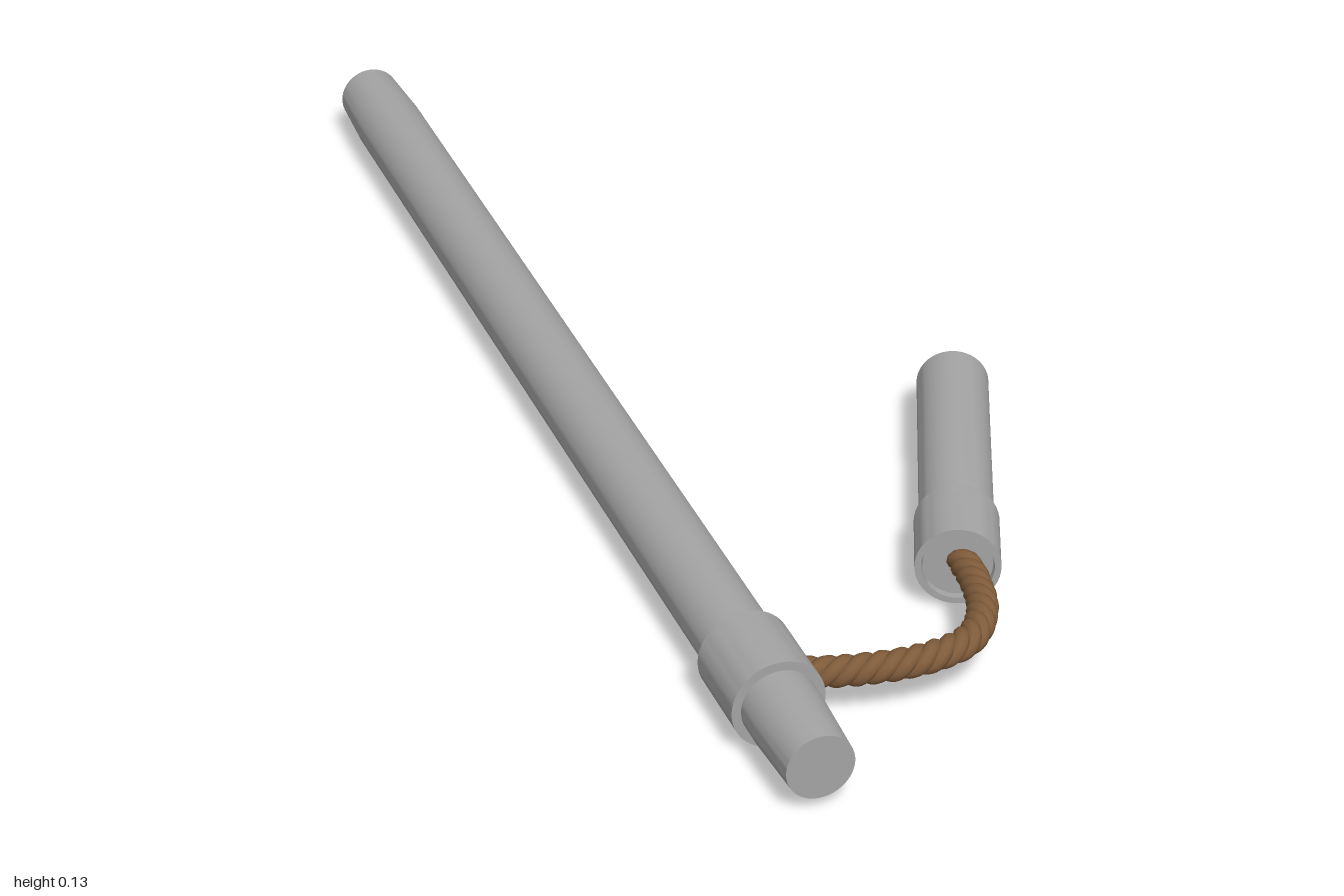
import * as THREE from 'three';
import { toCreasedNormals } from 'three/addons/utils/BufferGeometryUtils.js';

const metal = new THREE.MeshStandardMaterial({ color: 0xa4a4a4 });
metal.name = 'grey metal';
const fibre = new THREE.MeshStandardMaterial({ color: 0x7f5b3a });
fibre.name = 'brown rope';

function add(parent, name, geometry, material) {
  const mesh = new THREE.Mesh(geometry, material);
  mesh.name = name;
  parent.add(mesh);
  return mesh;
}

// Solid of revolution along local y with crisp edges
function turned(points) {
  const profile = points.map(([r, y]) => new THREE.Vector2(r, y));
  return toCreasedNormals(new THREE.LatheGeometry(profile, 48), 0.6);
}

// Hollow sleeve from y0 to y1
function sleeve(inner, outer, y0, y1) {
  return turned([[inner, y0], [outer, y0], [outer, y1], [inner, y1], [inner, y0]]);
}

// Three strands twisted around a centre line
function twistedRope(path, turns, strandRadius, offset) {
  const group = new THREE.Group();
  const steps = 150;
  const frames = path.computeFrenetFrames(steps, false);
  for (let s = 0; s < 3; s++) {
    const points = [];
    for (let i = 0; i <= steps; i++) {
      const a = -(i / steps) * turns * Math.PI * 2 + (s * Math.PI * 2) / 3;
      points.push(path.getPointAt(i / steps)
        .addScaledVector(frames.normals[i], Math.cos(a) * offset)
        .addScaledVector(frames.binormals[i], Math.sin(a) * offset));
    }
    const strand = new THREE.CatmullRomCurve3(points);
    add(group, 'ropeStrand' + (s + 1), new THREE.TubeGeometry(strand, 260, strandRadius, 10), fibre);
  }
  return group;
}

export function createModel() {
  const model = new THREE.Group();
  model.name = 'tetheredRods';

  // Long rod with tapered ends, lying along z
  const longRod = new THREE.Group();
  longRod.name = 'longRod';
  longRod.position.set(-0.257, 0.066, 0);
  longRod.rotation.x = Math.PI / 2;
  add(longRod, 'longShaft', turned([
    [0, -1], [0.047, -1], [0.052, -0.89], [0.052, 0.89], [0.047, 1], [0, 1],
  ]), metal);
  add(longRod, 'longCollar', sleeve(0.051, 0.065, 0.725, 0.852), metal);
  model.add(longRod);

  // Short rod, running from its collar back and to the side
  const shortRod = new THREE.Group();
  shortRod.name = 'shortRod';
  shortRod.position.set(0.087, 0.066, 0.632);
  shortRod.quaternion.setFromUnitVectors(
    new THREE.Vector3(0, 1, 0),
    new THREE.Vector3(0.185, 0, -0.456).normalize());
  add(shortRod, 'shortShaft', turned([
    [0, 0.008], [0.048, 0.008], [0.052, 0.06], [0.052, 0.492], [0, 0.492],
  ]), metal);
  add(shortRod, 'shortCollar', sleeve(0.05, 0.059, 0, 0.115), metal);
  model.add(shortRod);

  // Rope joining the two collars
  const path = new THREE.CatmullRomCurve3([
    [-0.215, 0.072, 0.80], [-0.14, 0.077, 0.828], [-0.05, 0.082, 0.842],
    [0.02, 0.083, 0.823], [0.065, 0.08, 0.765], [0.088, 0.075, 0.69], [0.098, 0.07, 0.615],
  ].map((p) => new THREE.Vector3(...p)));
  const rope = twistedRope(path, 6.5, 0.0115, 0.0105);
  rope.name = 'rope';
  model.add(rope);

  return model;
}
